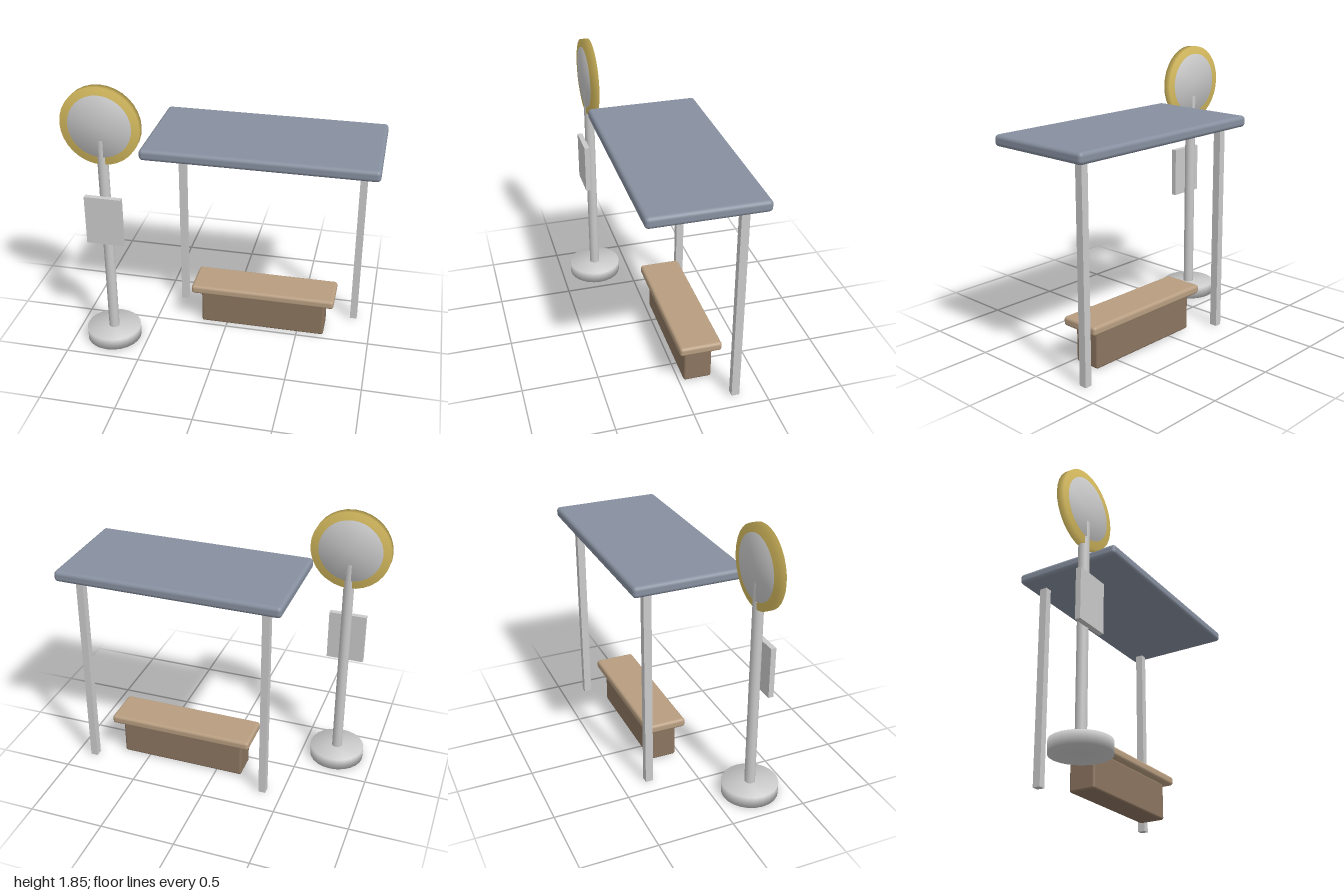
import * as THREE from 'three';
import { mergeVertices } from 'three/addons/utils/BufferGeometryUtils.js';
import { RoundedBoxGeometry } from 'three/addons/geometries/RoundedBoxGeometry.js';

function material(name, color) {
  const m = new THREE.MeshStandardMaterial({ color });
  m.name = name;
  return m;
}

// Cylinder with normals shared across rim and caps for a soft, cushioned look
function softCylinder(radius, height, sides) {
  const g = new THREE.CylinderGeometry(radius, radius, height, sides);
  g.deleteAttribute('uv');
  g.deleteAttribute('normal');
  const merged = mergeVertices(g, 1e-4);
  merged.computeVertexNormals();
  return merged;
}

export function createModel() {
  const metal = material('pale grey metal', 0xcacaca);
  const yellow = material('yellow rim', 0xd8bd60);
  const slate = material('slate blue roof', 0x8790a0);
  const lightWood = material('light wood', 0xb89e81);
  const darkWood = material('dark wood', 0x8c7560);

  const model = new THREE.Group();
  model.name = 'busStop';

  function add(parent, name, geometry, mat, x, y, z) {
    const mesh = new THREE.Mesh(geometry, mat);
    mesh.name = name;
    mesh.position.set(x, y, z);
    parent.add(mesh);
    return mesh;
  }

  // Box given by its [min, max] on each axis, optionally rounded
  function addBox(parent, name, mat, [x0, x1], [y0, y1], [z0, z1], radius = 0) {
    const size = [x1 - x0, y1 - y0, z1 - z0];
    const geometry = radius
      ? new RoundedBoxGeometry(...size, 3, radius)
      : new THREE.BoxGeometry(...size);
    return add(parent, name, geometry, mat, (x0 + x1) / 2, (y0 + y1) / 2, (z0 + z1) / 2);
  }

  // Round stop sign on a pole, with a timetable panel
  const sign = new THREE.Group();
  sign.name = 'stopSign';
  sign.position.set(-0.741, 0, 0.249);
  model.add(sign);
  add(sign, 'signBase', softCylinder(0.185, 0.08, 24), metal, 0, 0.04, 0);
  add(sign, 'signPole', softCylinder(0.035, 1.49, 16), metal, 0, 0.75, 0);
  add(sign, 'signRim', softCylinder(0.259, 0.05, 32), yellow, 0, 1.588, 0).rotation.x = Math.PI / 2;
  add(sign, 'signFace', softCylinder(0.206, 0.062, 32), metal, 0, 1.588, 0).rotation.x = Math.PI / 2;
  addBox(sign, 'timetablePanel', metal, [-0.124, 0.122], [0.768, 1.105], [0.031, 0.066]);

  // Shelter roof on two rear posts
  const shelter = new THREE.Group();
  shelter.name = 'shelter';
  model.add(shelter);
  addBox(shelter, 'roof', slate, [-0.49, 1], [1.396, 1.469], [-0.435, 0.309], 0.025);
  for (const [name, x] of [['rightPost', -0.369], ['leftPost', 0.876]]) {
    addBox(shelter, name, metal, [x - 0.024, x + 0.024], [0, 1.37], [-0.336, -0.284]);
  }

  // Bench
  const bench = new THREE.Group();
  bench.name = 'bench';
  model.add(bench);
  addBox(bench, 'benchSeat', lightWood, [-0.244, 0.75], [0.254, 0.315], [-0.263, 0.015], 0.02);
  addBox(bench, 'benchSupport', darkWood, [-0.18, 0.686], [0.003, 0.256], [-0.217, -0.031], 0.015);

  return model;
}
